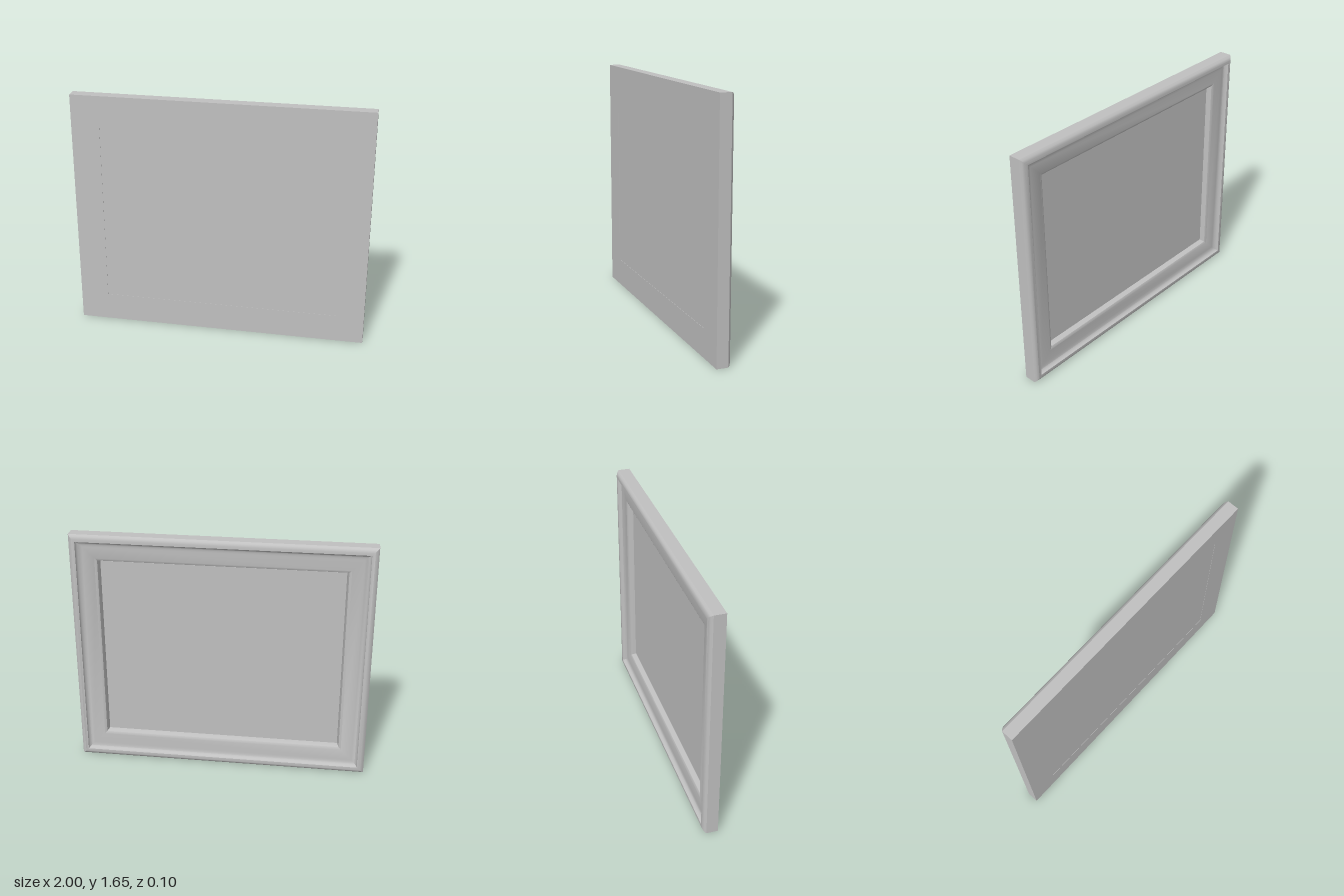
import * as THREE from 'three';
import { toCreasedNormals } from 'three/addons/utils/BufferGeometryUtils.js';

const W = 1, H = 0.8275; // half width and half height

// Sweeps an [inset, z] profile round the rectangle with mitred corners.
function mitredFrame(profile) {
  const corners = [[-1, -1], [1, -1], [1, 1], [-1, 1]];
  const point = (k, i) => {
    const [sx, sy] = corners[k % 4];
    const [inset, z] = profile[i % profile.length];
    return [sx * (W - inset), sy * (H - inset), z];
  };
  const pos = [];
  for (let k = 0; k < 4; k++) {
    for (let i = 0; i < profile.length; i++) {
      const a = point(k, i), b = point(k, i + 1), c = point(k + 1, i + 1), d = point(k + 1, i);
      pos.push(...a, ...b, ...c, ...a, ...c, ...d);
    }
  }
  const geo = new THREE.BufferGeometry();
  geo.setAttribute('position', new THREE.Float32BufferAttribute(pos, 3));
  return toCreasedNormals(geo, 0.6);
}

export function createModel() {
  const group = new THREE.Group();
  const grey = new THREE.MeshStandardMaterial({ color: 0xc0c0c0 });
  grey.name = 'grey';

  // Concave moulding between the raised rim and the flat band
  const cove = [];
  for (let i = 0; i <= 5; i++) {
    const t = (i / 5) * Math.PI / 2;
    cove.push([0.087 - 0.041 * Math.cos(t), -0.05 + 0.03 * Math.sin(t)]);
  }
  cove[0] = [0.046, -0.05];

  // Frame: flat front, chamfered back rim, cove, band and sloping inner lip
  const frame = new THREE.Mesh(mitredFrame([
    [0.193, 0.05], [0, 0.05], [0, -0.028], [0.01, -0.041], [0.026, -0.05],
    ...cove,
    [0.164, -0.02], [0.18, -0.012], [0.19, 0.02],
  ]), grey);
  frame.name = 'frame';

  // Flat panel filling the opening, just behind the front face
  const panel = new THREE.Mesh(
    new THREE.BoxGeometry(2 * (W - 0.193), 2 * (H - 0.193), 0.028), grey);
  panel.position.z = 0.034;
  panel.name = 'panel';

  group.add(frame, panel);
  for (const part of group.children) part.position.y = H;
  return group;
}
